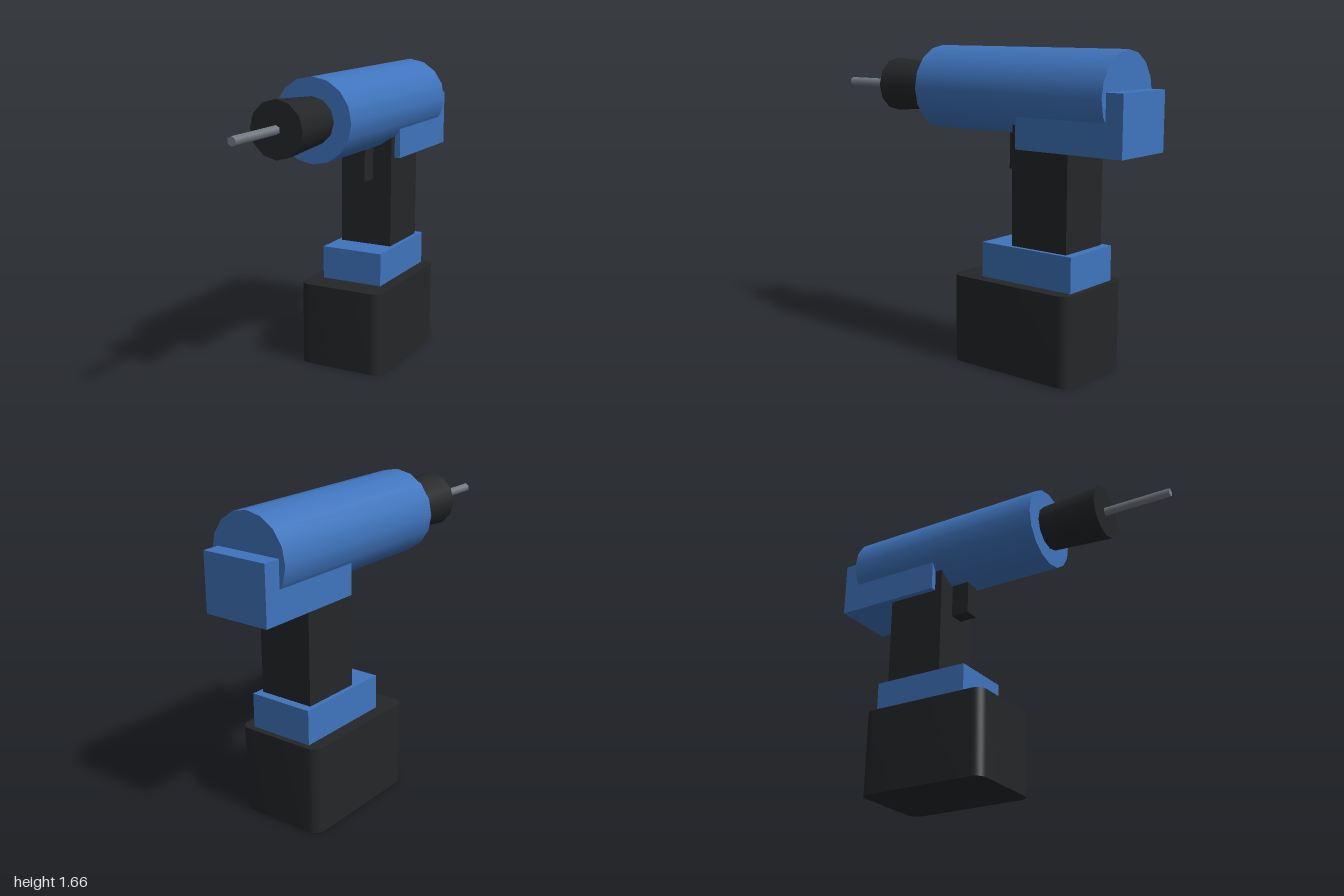
import * as THREE from 'three';
import { toCreasedNormals } from 'three/addons/utils/BufferGeometryUtils.js';

const blue = new THREE.MeshStandardMaterial({ color: 0x3f74bd });
const black = new THREE.MeshStandardMaterial({ color: 0x242628 });
const steel = new THREE.MeshStandardMaterial({ color: 0x777c85 });

export function createModel() {
  const model = new THREE.Group();

  const add = (name, geometry, material) => {
    const mesh = new THREE.Mesh(geometry, material);
    mesh.name = name;
    model.add(mesh);
  };

  // Box given by its half width and its y and z ranges
  const block = (name, material, halfWidth, y0, y1, z0, z1) => {
    const geometry = new THREE.BoxGeometry(2 * halfWidth, y1 - y0, z1 - z0);
    add(name, geometry.translate(0, (y0 + y1) / 2, (z0 + z1) / 2), material);
  };

  // Round part lying along z on the drilling axis
  const axisY = 1.44;
  const barrel = (name, material, rBack, rFront, z0, z1, sides) => {
    const geometry = new THREE.CylinderGeometry(rFront, rBack, z1 - z0, sides);
    geometry.rotateX(Math.PI / 2).translate(0, axisY, (z0 + z1) / 2);
    add(name, geometry, material);
  };

  // Motor body, chuck and bit
  barrel('motorBody', blue, 0.224, 0.224, -0.905, 0.28, 16);
  barrel('chuck', black, 0.125, 0.148, 0.28, 0.625, 12);
  barrel('drillBit', steel, 0.024, 0.024, 0.6, 1, 6);

  // Rear housing, grip and trigger
  block('rearHousing', blue, 0.187, 1.16, 1.468, -1, -0.373);
  block('handle', black, 0.155, 0.655, 1.36, -0.67, -0.33);
  block('trigger', black, 0.043, 1.035, 1.3, -0.33, -0.225);
  block('batteryMount', blue, 0.18, 0.47, 0.655, -0.717, -0.155);

  // Battery: rounded rectangle extruded upwards
  const w = 0.25, d = 0.375, r = 0.06;
  const outline = new THREE.Shape();
  outline.absarc(w - r, d - r, r, 0, Math.PI / 2);
  outline.absarc(-w + r, d - r, r, Math.PI / 2, Math.PI);
  outline.absarc(-w + r, -d + r, r, Math.PI, 1.5 * Math.PI);
  outline.absarc(w - r, -d + r, r, 1.5 * Math.PI, 2 * Math.PI);
  outline.closePath();
  const battery = new THREE.ExtrudeGeometry(outline, { depth: 0.47, bevelEnabled: false, curveSegments: 5 });
  battery.rotateX(-Math.PI / 2).translate(0, 0, -0.375);
  add('battery', toCreasedNormals(battery, 0.6), black);

  return model;
}
